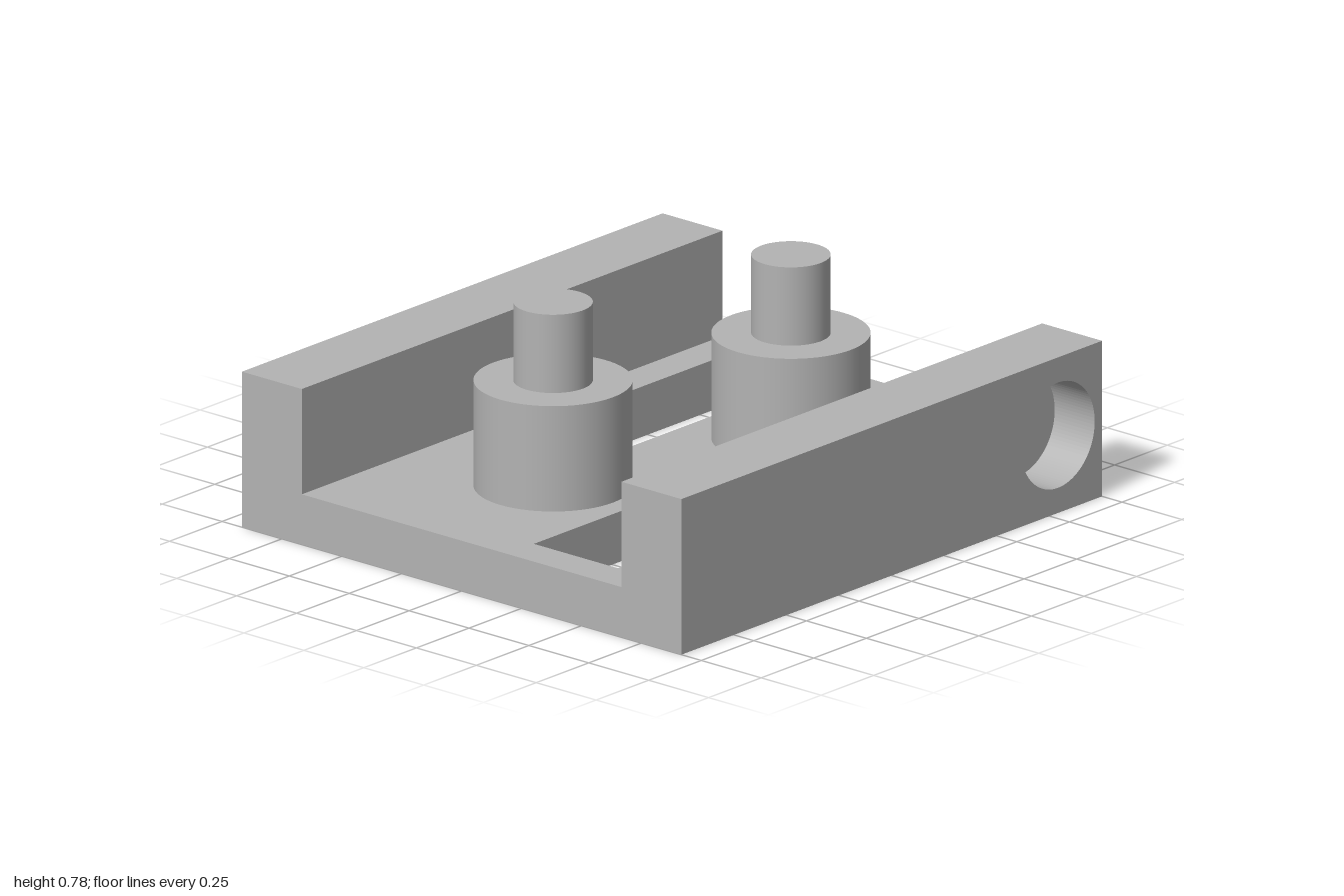
import * as THREE from 'three';

const HALF_X = 1, HALF_Z = 0.917, WALL = 0.25, HEIGHT = 0.517, FLOOR = 0.167;
const BORE_DEPTH = 0.167, BORE_R = 0.175;

function rectangle(target, x0, y0, x1, y1) {
  target.moveTo(x0, y0);
  target.lineTo(x1, y0);
  target.lineTo(x1, y1);
  target.lineTo(x0, y1);
  target.closePath();
  return target;
}

export function createModel() {
  const model = new THREE.Group();
  model.name = 'bracket';
  const grey = new THREE.MeshStandardMaterial({ color: 0xb3b3b3 });
  grey.name = 'grey';

  const add = (parent, name, geometry, x = 0, y = 0, z = 0) => {
    const mesh = new THREE.Mesh(geometry, grey);
    mesh.name = name;
    mesh.position.set(x, y, z);
    parent.add(mesh);
  };

  // Floor plate with two rectangular slots, drawn in plan (shape y = -z)
  const inner = HALF_Z - WALL;
  const plan = rectangle(new THREE.Shape(), -HALF_X, -inner, HALF_X, inner);
  plan.holes.push(
    rectangle(new THREE.Path(), -0.873, -0.54, 0.043, -0.19),
    rectangle(new THREE.Path(), -0.043, 0.19, 0.873, 0.54)
  );
  const floor = new THREE.ExtrudeGeometry(plan, { depth: FLOOR, bevelEnabled: false });
  floor.rotateX(-Math.PI / 2);
  add(model, 'floorPlate', floor);

  // Wall face with a round blind bore
  const face = rectangle(new THREE.Shape(), -HALF_X, 0, HALF_X, HEIGHT);
  const bore = new THREE.Path();
  bore.absarc(0.79, HEIGHT / 2, BORE_R, 0, Math.PI * 2, true);
  face.holes.push(bore);
  const boredLayer = new THREE.ExtrudeGeometry(face, {
    depth: BORE_DEPTH, bevelEnabled: false, curveSegments: 48
  });
  const backing = WALL - BORE_DEPTH;
  const backingLayer = new THREE.BoxGeometry(2 * HALF_X, HEIGHT, backing);
  const boss = new THREE.CylinderGeometry(0.25, 0.25, HEIGHT - FLOOR, 64);
  const pin = new THREE.CylinderGeometry(0.125, 0.125, 0.26, 48);

  // Each half is the other turned by half a revolution
  for (const [side, turn] of [['front', 0], ['back', Math.PI]]) {
    const half = new THREE.Group();
    half.name = side + 'Half';
    half.rotation.y = turn;
    add(half, side + 'WallBored', boredLayer, 0, 0, HALF_Z - BORE_DEPTH);
    add(half, side + 'WallBacking', backingLayer, 0, HEIGHT / 2, inner + backing / 2);
    add(half, side + 'Boss', boss, 0.415, (HEIGHT + FLOOR) / 2, 0.132);
    add(half, side + 'Pin', pin, 0.415, HEIGHT + 0.13, 0.132);
    model.add(half);
  }
  return model;
}
